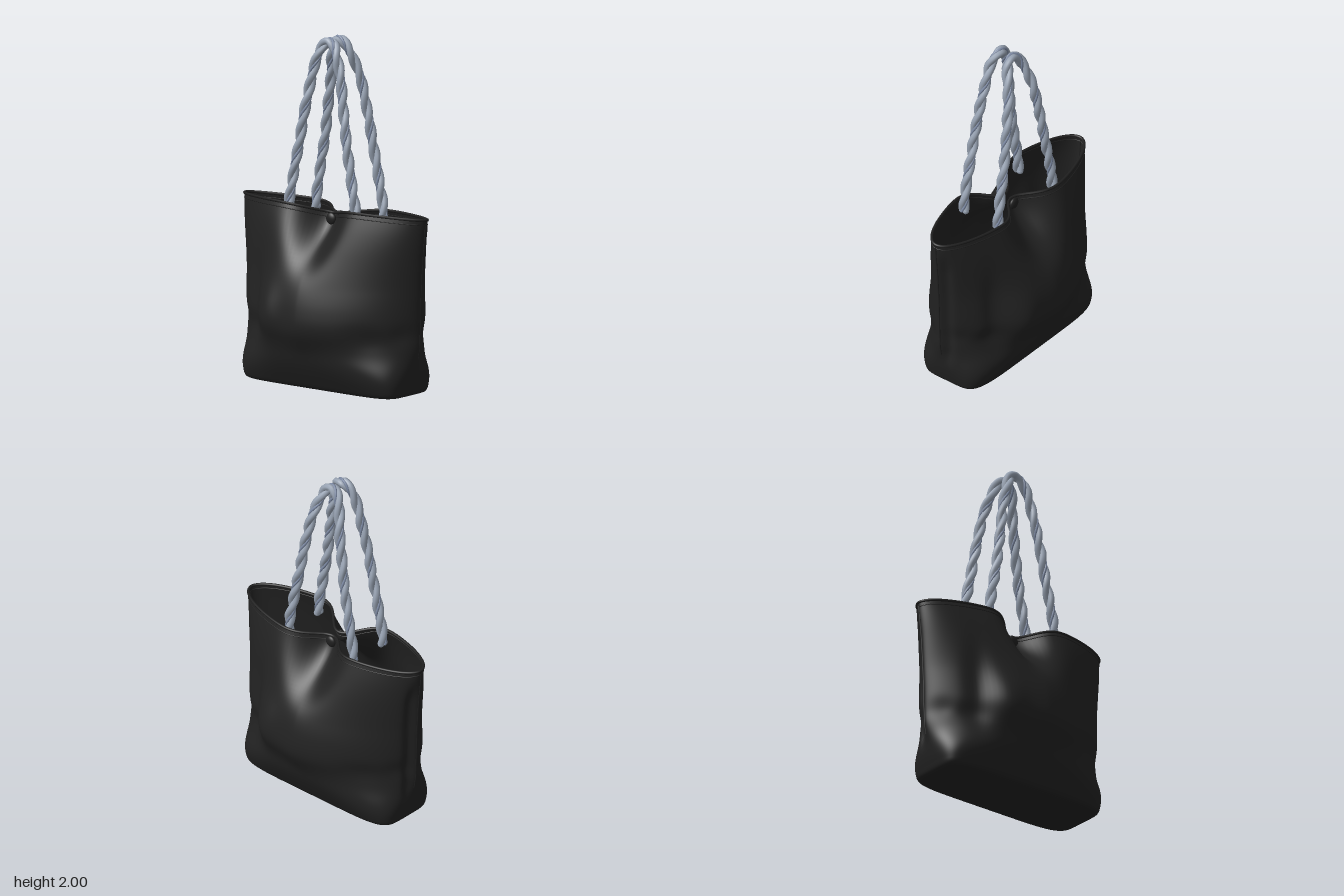
import * as THREE from 'three';

const V = (x, y, z) => new THREE.Vector3(x, y, z);
const bump = (d, w) => Math.exp(-(d / w) * (d / w));
const spow = (c, e) => Math.sign(c) * Math.pow(Math.abs(c), e);
const { smoothstep } = THREE.MathUtils;

// Bag profile: half width, height, half depth
const profile = new THREE.CatmullRomCurve3([
  V(0.51, 0, 0.18), V(0.545, 0.01, 0.205), V(0.563, 0.06, 0.235), V(0.588, 0.18, 0.295),
  V(0.608, 0.28, 0.342), V(0.614, 0.37, 0.368), V(0.615, 0.48, 0.362), V(0.62, 0.62, 0.328),
  V(0.63, 0.78, 0.275), V(0.64, 0.91, 0.227), V(0.647, 1.02, 0.183),
]);
// Boxy at the floor, pointed at the belly, rounder again at the rim
const squareness = (y) =>
  1.6 + 5 * Math.pow(1 - smoothstep(y, -0.08, 0.36), 1.9) + 0.3 * smoothstep(y, 0.6, 1);

// Point on the soft bag wall: angle t around, v from floor to rim
function wall(t, v) {
  const { x: W, y: h, z: D } = profile.getPoint(v);
  const e = 2 / squareness(h);
  let x = W * spow(Math.cos(t), e);
  let z = D * spow(Math.sin(t), e);
  const s = x / W;
  const side = Math.sign(z);
  const face = Math.min(1, Math.abs(z) / 0.1);

  // mouth pinched shut in the middle, easing out down the wall
  const pinch = smoothstep(h, 0.5, 1.03);
  z *= 1 - 0.88 * Math.pow(pinch, 2) * bump(s, 0.16 + 0.05 * pinch);

  // belly swells to one side of each face, with sagging folds and dented corners
  let fold = 0.036 * bump(x + side * 0.25, 0.1) * bump(h - 0.42, 0.18);
  fold -= 0.012 * bump(h - 0.24, 0.07) * bump(x - 0.05, 0.25);
  fold -= 0.03 * bump(x + side * 0.39, 0.06) * bump(h - 0.5, 0.22);
  fold -= 0.016 * bump(Math.abs(x) - 0.42, 0.12) * bump(h - 0.34, 0.06);
  z += side * face * fold;

  // side seam groove and tucked gusset
  const mid = smoothstep(h, 0.12, 0.25) * (1 - smoothstep(h, 0.8, 0.98));
  const end = smoothstep(Math.abs(s), 0.75, 0.95);
  x -= Math.sign(x) * end * mid * 0.025 * bump(z + 0.04, 0.03);
  x -= Math.sign(x) * end * 0.015 * bump(h - 0.36, 0.06) * bump(Math.abs(z) - 0.12, 0.09);

  // rim dips at the clasp and tilts a little to the back
  const y = h - pinch * (0.035 * bump(s, 0.22) - 0.11 * z);
  return V(x, y, z);
}

function loft(rows, cols) {
  const pos = [], idx = [];
  for (let i = 0; i <= rows; i++)
    for (let j = 0; j < cols; j++) pos.push(...wall((j / cols) * Math.PI * 2, i / rows).toArray());
  for (let i = 0; i < rows; i++)
    for (let j = 0; j < cols; j++) {
      const k = (j + 1) % cols, a = i * cols, b = a + cols;
      idx.push(a + j, b + j, a + k, a + k, b + j, b + k);
    }
  const g = new THREE.BufferGeometry();
  g.setAttribute('position', new THREE.Float32BufferAttribute(pos, 3));
  g.setIndex(idx);
  g.computeVertexNormals();
  return g;
}

// Closed piping that follows the wall at one level
function piping(v, radius) {
  const pts = [];
  for (let j = 0; j < 96; j++) pts.push(wall((j / 96) * Math.PI * 2, v));
  return new THREE.TubeGeometry(new THREE.CatmullRomCurve3(pts, true), 240, radius, 8, true);
}

// One strand wound around a handle's centre line
function strand(path, turns, phase, offset) {
  const n = 220, frames = path.computeFrenetFrames(n), pts = [];
  for (let i = 0; i <= n; i++) {
    const a = phase + (i / n) * turns * Math.PI * 2;
    pts.push(path.getPointAt(i / n)
      .addScaledVector(frames.normals[i], Math.cos(a) * offset)
      .addScaledVector(frames.binormals[i], Math.sin(a) * offset));
  }
  return new THREE.CatmullRomCurve3(pts);
}

export function createModel() {
  const group = new THREE.Group();
  const mat = (name, color, side = THREE.FrontSide) => {
    const m = new THREE.MeshStandardMaterial({ color, side });
    m.name = name;
    return m;
  };
  const fabric = mat('black fabric', 0x222222, THREE.DoubleSide);
  const trim = mat('dark trim', 0x1f1f1f);
  const rope = mat('grey rope', 0x99a4b4);
  const thread = mat('blue thread', 0x7c89a3);
  const add = (name, geometry, material, parent = group) => {
    const m = new THREE.Mesh(geometry, material);
    m.name = name;
    parent.add(m);
    return m;
  };

  // Body, floor and hem
  add('bagBody', loft(70, 160), fabric);
  const outline = [];
  for (let j = 0; j < 160; j++) {
    const p = wall((j / 160) * Math.PI * 2, 0);
    outline.push(new THREE.Vector2(p.x, p.z));
  }
  add('bagFloor', new THREE.ShapeGeometry(new THREE.Shape(outline)).rotateX(Math.PI / 2), fabric);
  add('rimHem', piping(1, 0.008), trim);
  add('hemStitch', piping(0.975, 0.003), trim);

  // Seams down both ends
  for (const start of [0, Math.PI]) {
    const pts = [];
    for (let i = 0; i <= 24; i++) pts.push(wall(start, 0.34 + (i / 24) * 0.64));
    add(start ? 'rightSeam' : 'leftSeam',
      new THREE.TubeGeometry(new THREE.CatmullRomCurve3(pts), 60, 0.004, 6), trim);
  }

  // Clasp button on each face
  for (const s of [1, -1]) {
    const z = wall(s * Math.PI / 2, 0.95).z;
    const button = add(s > 0 ? 'frontButton' : 'backButton', new THREE.SphereGeometry(0.034, 24, 16), trim);
    button.scale.z = 0.5;
    button.position.set(0, 0.955, z + s * 0.004);
  }

  // Twisted rope handles
  for (const s of [1, -1]) {
    const handle = new THREE.Group();
    handle.name = s > 0 ? 'frontHandle' : 'backHandle';
    group.add(handle);
    const top = s > 0 ? 0.055 : 0.028;
    const leg = [
      [0.242, 0.97, 0.122], [0.236, 1.06, 0.122], [0.205, 1.22, 0.119], [0.166, 1.42, 0.113],
      [0.136, 1.6, 0.102], [0.104, 1.76, 0.086], [0.07, 1.89, top + 0.022], [0.035, 1.953, top + 0.006],
    ];
    const pts = [
      ...leg.map(([x, y, z]) => V(-x, y, s * z)),
      V(0, 1.97, s * top),
      ...leg.slice().reverse().map(([x, y, z]) => V(x, y, s * z)),
    ];
    const path = new THREE.CatmullRomCurve3(pts);
    for (let k = 0; k < 3; k++) {
      const thin = k === 2;
      const r = thin ? 0.008 : 0.02;
      const curve = strand(path, 8, thin ? Math.PI / 2 : k * Math.PI, thin ? 0.018 : 0.0125);
      const material = thin ? thread : rope;
      add(thin ? 'thread' : 'strand', new THREE.TubeGeometry(curve, 260, r, 8), material, handle);
      for (const u of [0, 1])
        add('strandEnd', new THREE.SphereGeometry(r, 10, 8), material, handle).position.copy(curve.getPoint(u));
    }
  }
  return group;
}
